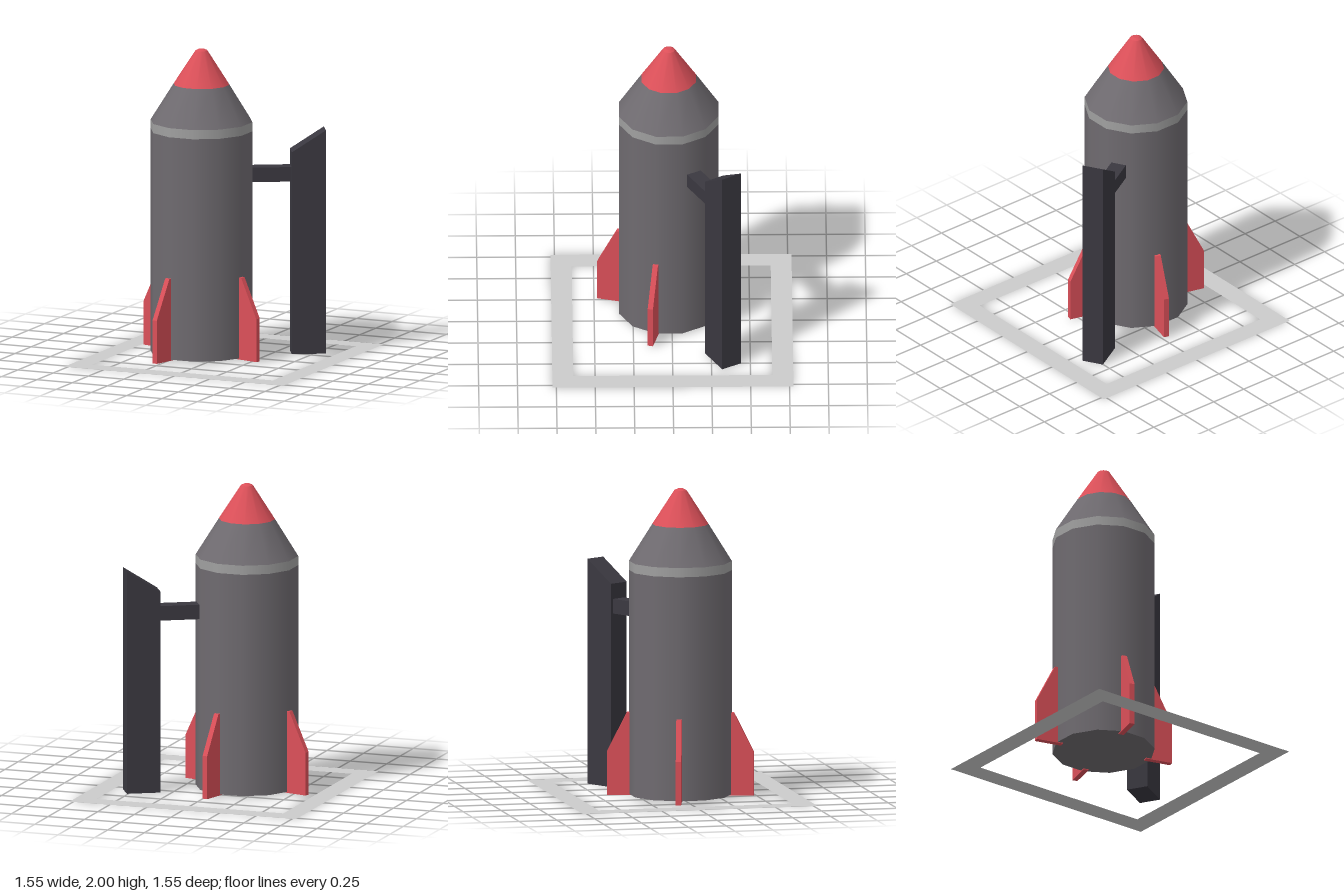
import * as THREE from 'three';

const SIDES = 12;
const paint = (color) => new THREE.MeshStandardMaterial({ color });
const hull = paint(0x6f6b70);
const silver = paint(0xa0a0a0);
const red = paint(0xdc5059);
const dark = paint(0x3a3840);
const grey = new THREE.MeshStandardMaterial({ color: 0xcccccc, side: THREE.DoubleSide });

function part(name, geometry, material) {
  const mesh = new THREE.Mesh(geometry, material);
  mesh.name = name;
  return mesh;
}

// Twelve-sided hull section; radii are measured to the middle of the flats
function section(name, r0, y0, r1, y1, material, open = true) {
  const k = 1 / Math.cos(Math.PI / SIDES);
  const g = new THREE.CylinderGeometry(r1 * k, r0 * k, y1 - y0, SIDES, 1, open, Math.PI / SIDES);
  g.translate(0, (y0 + y1) / 2, 0);
  return part(name, g, material);
}

// Upright slab: outline in (distance from axis, height), turned about the axis
function slab(name, outline, thickness, angle, material) {
  const shape = new THREE.Shape(outline.map(([r, y]) => new THREE.Vector2(r, y)));
  const g = new THREE.ExtrudeGeometry(shape, { depth: thickness, bevelEnabled: false });
  g.translate(0, 0, -thickness / 2);
  const mesh = part(name, g, material);
  mesh.rotation.y = angle;
  return mesh;
}

export function createModel() {
  const model = new THREE.Group();
  model.name = 'rocketOnPad';

  const rocket = new THREE.Group();
  rocket.name = 'rocket';
  rocket.position.set(-0.15, 0, 0.02);
  rocket.add(
    section('body', 0.32, 0.014, 0.32, 1.47, hull, false),
    section('band', 0.32, 1.47, 0.32, 1.53, silver),
    section('shoulder', 0.32, 1.53, 0.175, 1.77, hull),
    section('noseCone', 0.175, 1.77, 0.038, 1.99, red),
    section('noseTip', 0.038, 1.99, 0.018, 2, red, false)
  );

  // Four fins around the tail
  const finOutline = [[0.29, 0.008], [0.472, 0.008], [0.472, 0.29], [0.345, 0.545], [0.29, 0.545]];
  for (let i = 0; i < 4; i++) {
    rocket.add(slab('fin', finOutline, 0.035, -Math.PI / 12 + i * Math.PI / 2, red));
  }
  model.add(rocket);

  // Launch tower with sloping top, and the arm reaching to the hull
  const gantry = new THREE.Group();
  gantry.name = 'gantry';
  gantry.position.copy(rocket.position);
  gantry.add(
    slab('tower', [[0.577, 0.003], [0.797, 0.003], [0.797, 1.465], [0.577, 1.325]], 0.14, Math.PI / 6, dark),
    slab('arm', [[0.29, 1.13], [0.6, 1.13], [0.6, 1.225], [0.29, 1.225]], 0.1, Math.PI / 6, dark)
  );
  model.add(gantry);

  // Flat square border on the ground
  const square = (h) => [[-h, -h], [h, -h], [h, h], [-h, h]].map(([x, y]) => new THREE.Vector2(x, y));
  const border = new THREE.Shape(square(0.775));
  border.holes.push(new THREE.Path(square(0.64)));
  const pad = part('padBorder', new THREE.ShapeGeometry(border), grey);
  pad.rotation.x = -Math.PI / 2;
  model.add(pad);

  return model;
}
